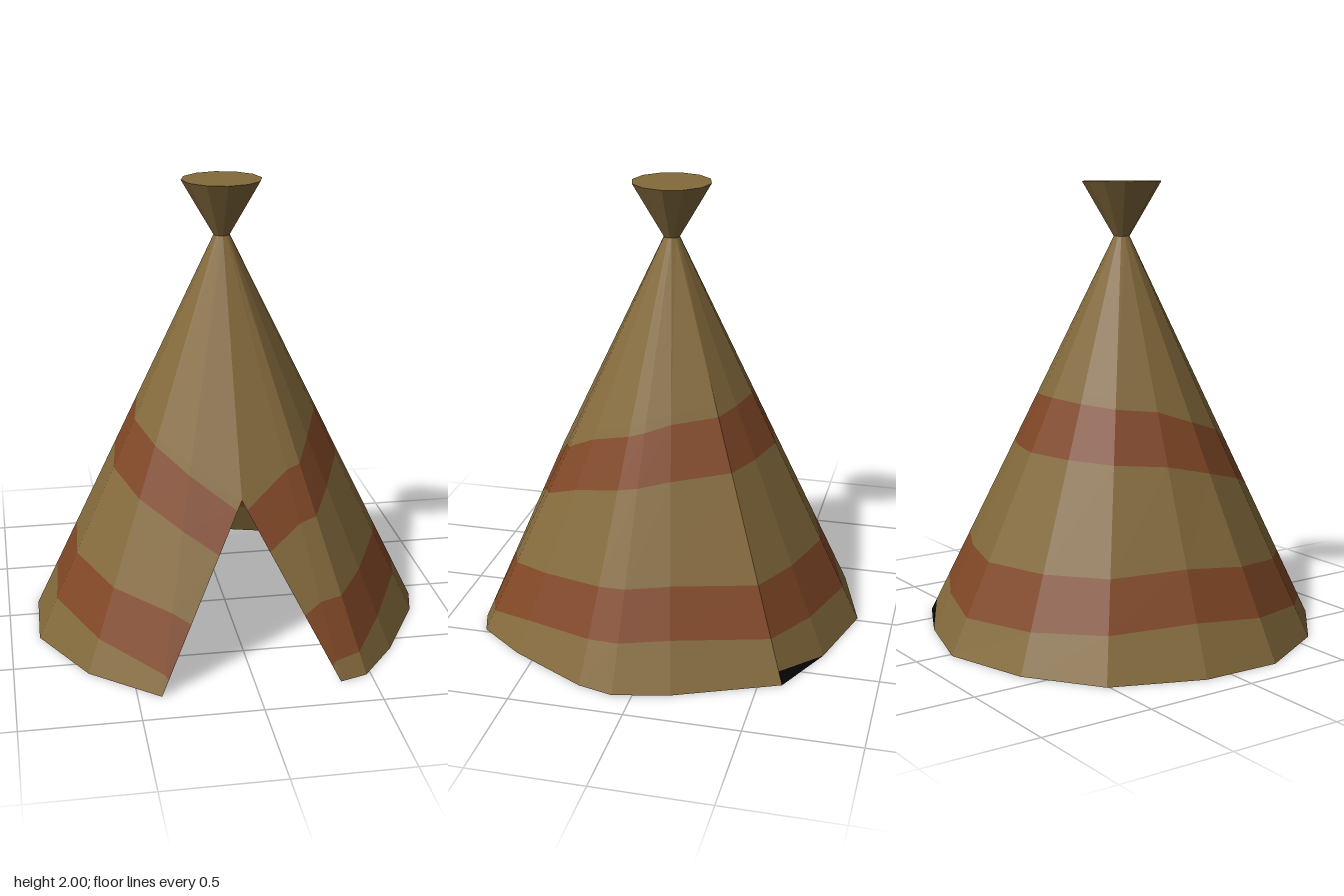
import * as THREE from 'three';

const NECK_Y = 1.76, CX = -0.02, CZ = 0.04, NECK_R = 0.035;

// Ground outline [x, z], from the left door edge round the back to the right door edge
const OUTLINE = [
  [0.36, 0.83], [0.48, 0.79], [0.64, 0.585], [0.83, 0.24], [0.87, 0.085],
  [0.815, -0.155], [0.625, -0.6], [0.345, -0.735], [-0.02, -0.84], [-0.405, -0.73],
  [-0.71, -0.51], [-0.865, -0.12], [-0.875, 0.235], [-0.685, 0.59], [-0.4, 0.83],
];
const PATCH_PANEL = 7; // panel with the dark sliver along its hem

// Stripe edge heights at a few depths: [z, low, high, low, high]
const STRIPES = [
  [-0.84, 0.155, 0.385, 0.84, 1.07], [-0.6, 0.18, 0.39, 0.83, 1.05],
  [-0.1, 0.21, 0.415, 0.81, 1.03], [0.2, 0.185, 0.39, 0.77, 0.98],
  [0.59, 0.14, 0.345, 0.7, 0.915], [0.83, 0.08, 0.31, 0.62, 0.83],
];

function stripeHeights(z) {
  let i = 0;
  while (i < STRIPES.length - 2 && z > STRIPES[i + 1][0]) i++;
  const a = STRIPES[i], b = STRIPES[i + 1];
  const t = THREE.MathUtils.clamp((z - a[0]) / (b[0] - a[0]), 0, 1);
  return [1, 2, 3, 4].map((k) => THREE.MathUtils.lerp(a[k], b[k], t));
}

// Points up one crease, from the ground to the neck
function crease([x, z]) {
  const ground = new THREE.Vector3(x, 0, z);
  const d = new THREE.Vector2(x - CX, z - CZ).setLength(NECK_R);
  const neck = new THREE.Vector3(CX + d.x, NECK_Y, CZ + d.y);
  const h = stripeHeights(z);
  return [0, ...h, h[3] + 0.04, NECK_Y].map((y) => ground.clone().lerp(neck, y / NECK_Y));
}

// Points up one edge of the door opening, over its peak and on to the neck
function doorEdge([x, z]) {
  const ground = new THREE.Vector3(x, 0, z);
  const peak = new THREE.Vector3(CX, 0.74, 0.56);
  const points = [0, 0.06, 0.27, 0.53, 0.7, 0.74].map((y) => ground.clone().lerp(peak, y / 0.74));
  return [...points, new THREE.Vector3(CX, NECK_Y, CZ + NECK_R)];
}

function surface(triangles, material, name) {
  const geometry = new THREE.BufferGeometry().setFromPoints(triangles);
  geometry.computeVertexNormals();
  const mesh = new THREE.Mesh(geometry, material);
  mesh.name = name;
  return mesh;
}

export function createModel() {
  const make = (name, color) => new THREE.MeshStandardMaterial({
    name, color, flatShading: true, side: THREE.DoubleSide,
  });
  const hide = make('tan hide', 0x846a3c);
  const red = make('rust red', 0x804726);
  const black = make('black', 0x080808);

  const model = new THREE.Group();
  model.name = 'tent';

  // Cover: rows of quads between neighbouring creases, sorted by colour
  const columns = [
    doorEdge(OUTLINE[0]), ...OUTLINE.map(crease), doorEdge(OUTLINE[OUTLINE.length - 1]),
  ];
  const cover = [], lowerStripe = [], upperStripe = [], patch = [];
  const rows = [cover, lowerStripe, cover, upperStripe, cover, cover];
  for (let c = 0; c < columns.length - 1; c++) {
    const a = columns[c], b = columns[c + 1];
    rows.forEach((target, r) => {
      let start = a[r];
      if (c === PATCH_PANEL && r === 0) {
        start = a[0].clone().lerp(a[1], 0.3);
        patch.push(a[0], b[0], start);
      }
      target.push(start, b[r], b[r + 1], start, b[r + 1], a[r + 1]);
    });
  }
  model.add(
    surface(cover, hide, 'cover'),
    surface(lowerStripe, red, 'lowerStripe'),
    surface(upperStripe, red, 'upperStripe'),
    surface(patch, black, 'hemPatch'),
  );

  // Flared top above the neck
  const flare = new THREE.Mesh(
    new THREE.CylinderGeometry(0.175, NECK_R, 2 - NECK_Y, 12), hide);
  flare.position.set(CX, (2 + NECK_Y) / 2, CZ);
  flare.name = 'flaredTop';
  model.add(flare);

  return model;
}
